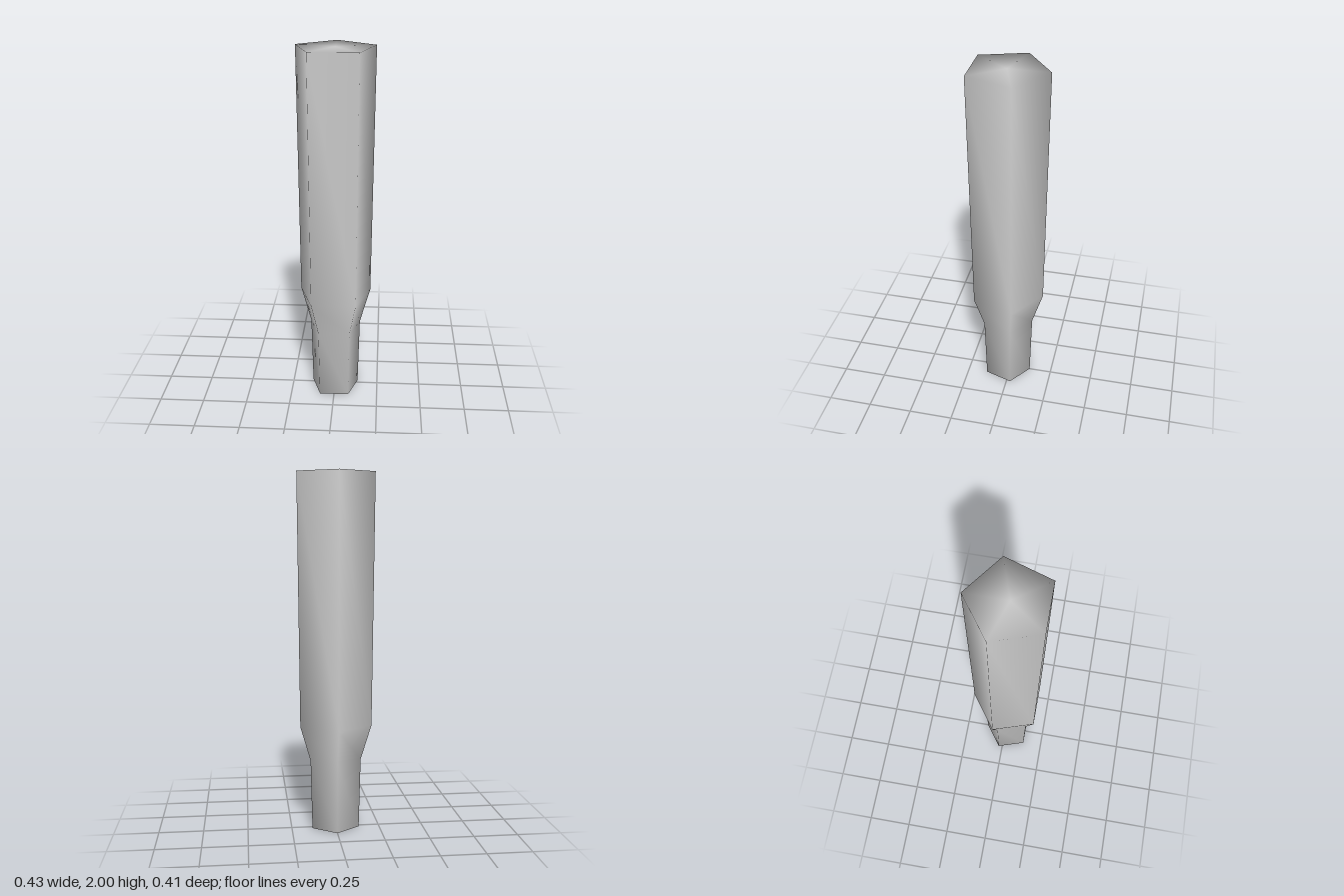
import * as THREE from 'three';
import { mergeVertices } from 'three/addons/utils/BufferGeometryUtils.js';

const SIDES = 5;

// Closed five-sided solid from a [radius, height] profile, with one corner to the back.
function pentagonSolid(profile) {
  const points = profile.map(([r, y]) => new THREE.Vector2(r, y));
  let geometry = new THREE.LatheGeometry(points, SIDES, Math.PI);
  // Weld seam and caps so the shading is smooth all over
  geometry.deleteAttribute('uv');
  geometry.deleteAttribute('normal');
  geometry = mergeVertices(geometry, 1e-4);
  geometry.computeVertexNormals();
  return geometry;
}

export function createModel() {
  const group = new THREE.Group();
  group.name = 'pentagonalPost';

  // Narrow foot, short flare, long slightly widening shaft, flat ends
  const geometry = pentagonSolid([
    [0, 0],
    [0.14, 0],
    [0.15, 0.4],
    [0.211, 0.6],
    [0.225, 2],
    [0, 2],
  ]);
  const shaft = new THREE.Mesh(geometry, new THREE.MeshStandardMaterial({ color: 0xcccccc }));
  shaft.name = 'shaft';
  shaft.position.z = 0.021; // centres the pentagon's depth
  group.add(shaft);

  return group;
}
